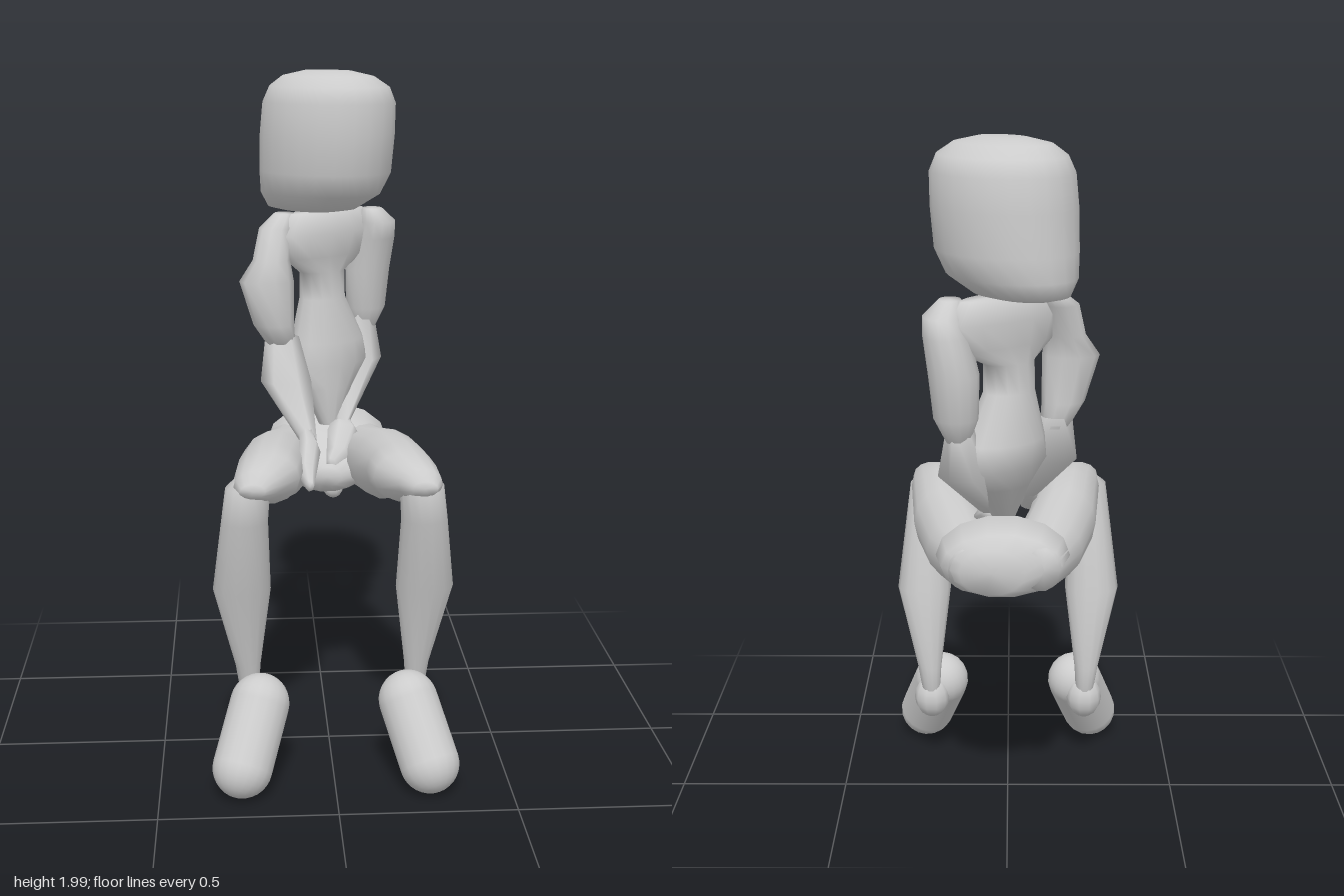
import * as THREE from 'three';

const clay = new THREE.MeshStandardMaterial({ color: 0xcccccc });
clay.name = 'grey clay';

// Closed loft through elliptical rings [x, y, z, rx, r2, yaw], listed by rising axis.
// axis 'y': rings lie flat; axis 'z': rings stand upright facing forward.
function loft(axis, rings, sides = 14) {
  const pos = [], idx = [];
  for (const [x, y, z, rx, r2, yaw = 0] of rings) {
    for (let i = 0; i < sides; i++) {
      const t = (i / sides) * Math.PI * 2;
      const a = Math.cos(t) * rx, b = Math.sin(t) * r2;
      if (axis === 'y') {
        pos.push(x + a * Math.cos(yaw) + b * Math.sin(yaw), y, z - a * Math.sin(yaw) + b * Math.cos(yaw));
      } else {
        pos.push(x + a, y - b, z);
      }
    }
  }
  const last = rings.length - 1, first = pos.length / 3;
  pos.push(...rings[0].slice(0, 3), ...rings[last].slice(0, 3));
  for (let i = 0; i < sides; i++) {
    const n = (i + 1) % sides;
    for (let j = 0; j < last; j++) {
      const a = j * sides + i, b = j * sides + n, c = b + sides, d = a + sides;
      idx.push(a, d, c, a, c, b);
    }
    idx.push(first, i, n, first + 1, last * sides + n, last * sides + i);
  }
  const g = new THREE.BufferGeometry();
  g.setAttribute('position', new THREE.Float32BufferAttribute(pos, 3));
  g.setIndex(idx);
  g.computeVertexNormals();
  return g;
}

export function createModel() {
  const group = new THREE.Group();
  const add = (name, geometry) => {
    const mesh = new THREE.Mesh(geometry, clay);
    mesh.name = name;
    group.add(mesh);
    return mesh;
  };
  const turned = (yaw, rings) => rings.map((r) => [...r, yaw]);

  // Head: a rounded barrel, longer along the diagonal it faces
  add('head', loft('y', turned(-Math.PI / 4, [
    [-0.04, 1.59, -0.30, 0.10, 0.07], [-0.035, 1.6, -0.29, 0.15, 0.11],
    [-0.012, 1.645, -0.268, 0.195, 0.155], [0.002, 1.71, -0.252, 0.21, 0.175],
    [0.008, 1.82, -0.246, 0.213, 0.18], [0.013, 1.91, -0.242, 0.21, 0.176],
    [0.014, 1.955, -0.239, 0.192, 0.155], [0.011, 1.985, -0.236, 0.15, 0.11],
    [0.01, 2.0, -0.235, 0.08, 0.05],
  ]), 24));

  // Torso: broad shoulders, narrow waist and flared hips, turned like the head
  add('torso', loft('y', turned(0.75, [
    [0.01, 0.95, -0.21, 0.03, 0.03], [0.012, 1.06, -0.25, 0.09, 0.06],
    [0.015, 1.13, -0.28, 0.148, 0.085], [0.01, 1.2, -0.28, 0.13, 0.09],
    [-0.005, 1.33, -0.265, 0.078, 0.062], [-0.005, 1.41, -0.265, 0.08, 0.055],
    [0.005, 1.46, -0.268, 0.17, 0.058], [0.01, 1.53, -0.27, 0.2, 0.07],
    [0.01, 1.59, -0.275, 0.15, 0.05],
  ])));

  // Arms
  add('leftUpperArm', loft('y', [
    [0.13, 1.21, -0.37, 0.03, 0.03], [0.135, 1.28, -0.375, 0.06, 0.06],
    [0.14, 1.4, -0.375, 0.068, 0.078], [0.16, 1.5, -0.36, 0.062, 0.085],
    [0.165, 1.55, -0.345, 0.057, 0.085], [0.15, 1.59, -0.33, 0.03, 0.04],
  ]));
  add('leftForearm', loft('y', [
    [0.05, 0.96, -0.19, 0.025, 0.025], [0.12, 1.12, -0.375, 0.065, 0.07],
    [0.125, 1.26, -0.36, 0.035, 0.035],
  ], 6));
  add('rightUpperArm', loft('y', [
    [-0.13, 1.2, -0.16, 0.04, 0.035], [-0.155, 1.27, -0.14, 0.06, 0.055],
    [-0.175, 1.4, -0.135, 0.08, 0.058], [-0.16, 1.46, -0.15, 0.055, 0.055],
    [-0.145, 1.55, -0.18, 0.05, 0.06], [-0.12, 1.59, -0.21, 0.03, 0.04],
  ], 10));
  add('rightForearm', loft('y', [
    [-0.06, 0.95, 0.0, 0.025, 0.02], [-0.12, 1.1, -0.135, 0.075, 0.058],
    [-0.13, 1.23, -0.16, 0.05, 0.04],
  ], 6));

  // Hands resting between the thighs
  add('rightHand', loft('z', [
    [-0.065, 0.97, -0.02, 0.02, 0.02], [-0.06, 0.93, 0.05, 0.033, 0.04],
    [-0.07, 0.89, 0.13, 0.028, 0.03], [-0.065, 0.87, 0.2, 0.012, 0.015],
  ], 7));
  add('leftHand', loft('z', [
    [0.05, 0.96, -0.22, 0.025, 0.02], [0.05, 0.93, -0.15, 0.05, 0.035],
    [0.03, 0.88, -0.09, 0.035, 0.03], [0.01, 0.86, -0.06, 0.015, 0.02],
  ], 7));

  // Pelvis and the small bump beneath it
  add('pelvis', loft('z', [
    [0.04, 0.865, -0.43, 0.09, 0.065], [0.015, 0.87, -0.39, 0.165, 0.09],
    [0.012, 0.875, -0.31, 0.185, 0.115], [0.01, 0.845, -0.2, 0.18, 0.092],
    [0, 0.825, -0.08, 0.1, 0.055], [0, 0.825, -0.05, 0.04, 0.03],
  ]));
  add('pelvisBump', new THREE.SphereGeometry(0.03, 10, 8)).position.set(0.02, 0.768, -0.13);

  // Legs: bent thigh, tapering shin, heel and rounded foot
  for (const [side, s] of [['left', 1], ['right', -1]]) {
    const limb = (axis, rings, shift = 0) => loft(axis, rings.map(([x, ...r]) => [s * x + shift, ...r]));
    add(side + 'Thigh', limb('z', [
      [0.1, 0.865, -0.41, 0.05, 0.06], [0.12, 0.848, -0.2, 0.1, 0.092],
      [0.165, 0.87, -0.02, 0.1, 0.108], [0.185, 0.9, 0.15, 0.095, 0.085],
      [0.195, 0.905, 0.24, 0.092, 0.073], [0.225, 0.91, 0.33, 0.062, 0.045],
      [0.235, 0.905, 0.36, 0.035, 0.02],
    ], 0.008));
    add(side + 'Shin', limb('y', [
      [0.24, 0.23, 0.18, 0.025, 0.025], [0.245, 0.33, 0.18, 0.036, 0.035],
      [0.26, 0.58, 0.225, 0.082, 0.065], [0.25, 0.8, 0.285, 0.065, 0.068],
      [0.24, 0.9, 0.298, 0.062, 0.06], [0.22, 0.94, 0.28, 0.035, 0.035],
    ]));
    const heel = add(side + 'Heel', new THREE.SphereGeometry(0.055, 10, 8));
    heel.position.set(s * 0.24, 0.22, 0.197);
    heel.scale.y = 1.2;

    const ankle = new THREE.Vector3(s * 0.213, 0.248, 0.268);
    const toe = new THREE.Vector3(s * 0.265, 0.097, 0.37);
    const along = ankle.clone().sub(toe);
    const foot = add(side + 'Foot', new THREE.CapsuleGeometry(0.085, along.length(), 8, 18));
    foot.position.copy(ankle).add(toe).multiplyScalar(0.5);
    foot.quaternion.setFromUnitVectors(new THREE.Vector3(0, 1, 0), along.normalize());
  }
  return group;
}
